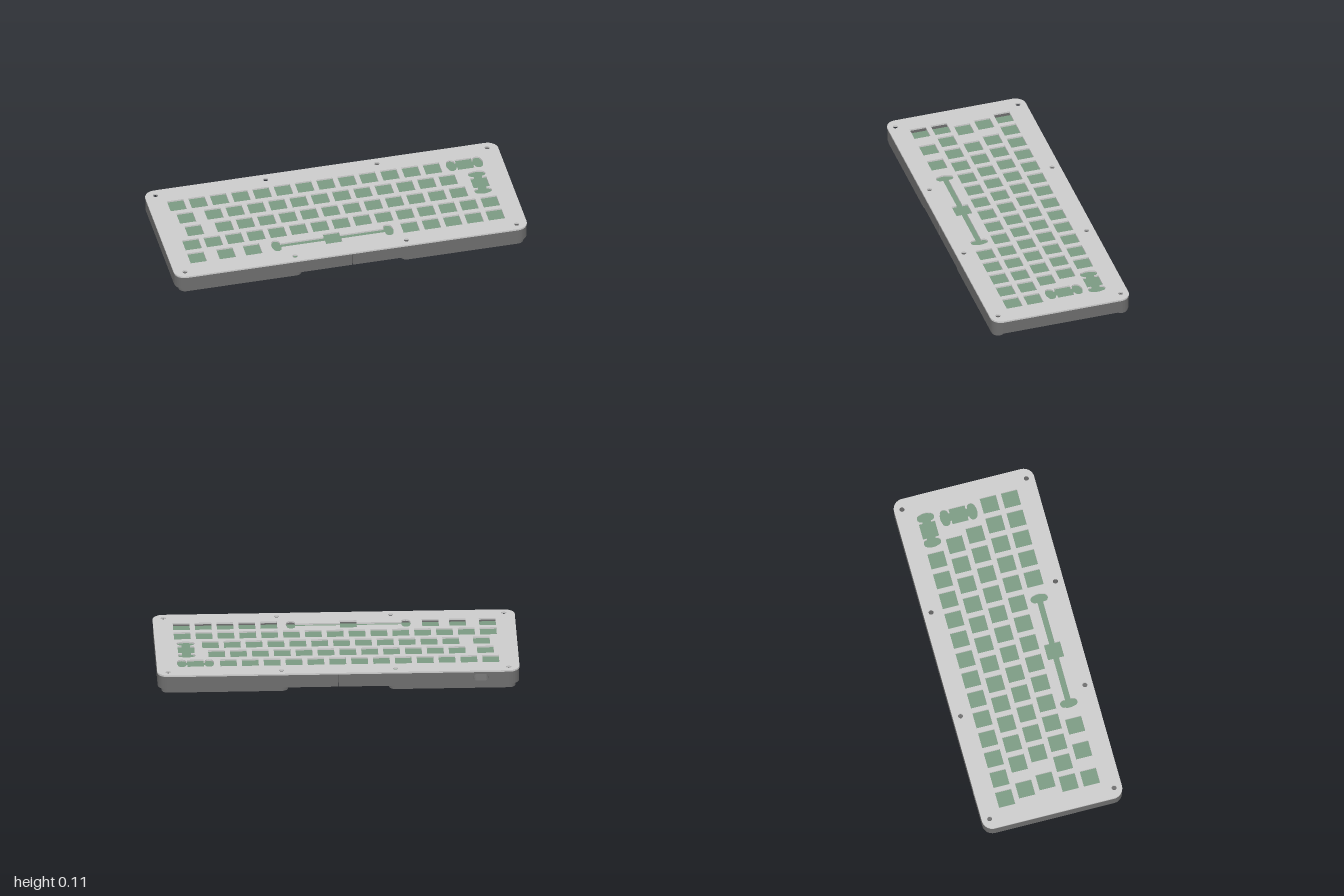
import * as THREE from 'three';

const U = 0.1207;      // key pitch
const KEY = 0.046;     // half size of a switch cutout
const SCREW_X = [0.315, 0.94], SCREW_Z = 0.355;

const mat = (color) => new THREE.MeshStandardMaterial({ color });
const v = (x, y) => new THREE.Vector2(x, y);

function circle(x, y, r) {
  const p = new THREE.Path();
  p.absarc(x, y, r, 0, Math.PI * 2, true);
  return p;
}

function arc(cx, cy, r, a0, a1, n = 8) {
  return Array.from({ length: n + 1 }, (_, i) => {
    const a = a0 + (a1 - a0) * i / n;
    return v(cx + r * Math.cos(a), cy + r * Math.sin(a));
  });
}

const rect = (x0, x1, y0, y1) => [v(x0, y0), v(x1, y0), v(x1, y1), v(x0, y1)];

// Flat plan shape (plan y = -z) raised from y0 to y1
function slab(name, shape, y0, y1, material) {
  const g = new THREE.ExtrudeGeometry(shape, { depth: y1 - y0, bevelEnabled: false, curveSegments: 16 });
  g.rotateX(-Math.PI / 2);
  const m = new THREE.Mesh(g, material);
  m.position.y = y0;
  m.name = name;
  return m;
}

// Switch opening joined to two lobed stabilizer openings at +-d
function stabilizedCutout(cx, cy, d, bar, upright) {
  const q = [v(d + 0.028, 0.008), v(d + 0.026, 0.018),
    ...arc(d, 0.026, 0.023, 0, Math.PI, 8),
    v(d - 0.023, bar), v(KEY, bar), v(KEY, KEY)];
  const flip = (sx, sy) => q.map((p) => v(p.x * sx, p.y * sy));
  const all = [...q, ...flip(-1, 1).reverse(), ...flip(-1, -1), ...flip(1, -1).reverse()];
  return new THREE.Path(all.map((p) => (upright ? v(cx - p.y, cy + p.x) : v(cx + p.x, cy + p.y))));
}

// Top plate with all key and screw openings
function makePlate(material) {
  const X = 1, Z = 0.4, r = 0.06, P = Math.PI;
  const shape = new THREE.Shape([
    ...arc(X - r, Z - r, r, 0, P / 2), ...arc(-X + r, Z - r, r, P / 2, P),
    ...arc(-X + r, -Z + r, r, P, 1.5 * P), ...arc(X - r, -Z + r, r, 1.5 * P, 2 * P)]);

  // [row z, first x, key count]
  const runs = [
    [-0.242, -0.845, 13],
    [-0.121, -0.82, 1], [-0.121, -0.664, 12],
    [0, -0.803, 1], [0, -0.634, 12],
    [0.121, -0.845, 15],
    [0.242, -0.845, 1], [0.242, -0.68, 1], [0.242, -0.53, 1], [0.242, 0.362, 5],
  ];
  for (const [z, x0, n] of runs) {
    for (let i = 0; i < n; i++) {
      const x = x0 + i * U;
      shape.holes.push(new THREE.Path(rect(x - KEY, x + KEY, -z - KEY, -z + KEY)));
    }
  }
  shape.holes.push(
    stabilizedCutout(0.785, 0.242, 0.075, 0.024, false),
    stabilizedCutout(0.83, 0.061, 0.077, 0.024, true),
    stabilizedCutout(-0.077, -0.242, 0.317, 0.016, false));
  for (const s of [-1, 1]) for (const x of SCREW_X) for (const t of [-1, 1]) {
    shape.holes.push(circle(s * x, t * SCREW_Z, 0.014));
  }
  return slab('topPlate', shape, 0.098, 0.1075, material);
}

// One half of the case; s is the side, withPort opens the rear wall
function makeCaseHalf(s, withPort, material) {
  const g = new THREE.Group();
  g.name = s > 0 ? 'leftCaseHalf' : 'rightCaseHalf';
  const X = 0.998, Z = 0.398, r = 0.058, IX = 0.905, IZ = 0.325, seam = 0.002;
  const P0 = 0.73, P1 = 0.84, floorY = 0.042, topY = 0.098;
  const side = (pts) => new THREE.Shape(pts.map((p) => v(p.x * s, p.y)));
  const outer = [v(seam, -Z),
    ...arc(X - r, -Z + r, r, -Math.PI / 2, 0), ...arc(X - r, Z - r, r, 0, Math.PI / 2)];
  const addScrews = (shape) => {
    for (const x of SCREW_X) for (const t of [-1, 1]) shape.holes.push(circle(s * x, t * SCREW_Z, 0.014));
    return shape;
  };

  // Floor, with the joint screw recesses on the left half
  const floor = addScrews(side([...outer, v(seam, Z)]));
  if (s > 0) for (const t of [-1, 1]) floor.holes.push(circle(0.06, t * SCREW_Z, 0.02));
  g.add(slab('caseFloor', floor, 0.023, floorY, material));

  // Walls
  const inner = [v(IX, IZ), v(IX, -IZ), v(seam, -IZ)];
  if (!withPort) {
    g.add(slab('caseWall', addScrews(side([...outer, v(seam, Z), v(seam, IZ), ...inner])), floorY, topY, material));
  } else {
    const main = side([...outer, v(P1, Z), v(P1, IZ), ...inner]);
    const rear = side(rect(seam, P0, IZ, Z));
    for (const t of [-1, 1]) {
      main.holes.push(circle(s * 0.94, t * SCREW_Z, 0.014));
      (t < 0 ? main : rear).holes.push(circle(s * 0.315, t * SCREW_Z, 0.014));
    }
    g.add(slab('caseWall', main, floorY, topY, material), slab('rearWall', rear, floorY, topY, material));

    // Rear wall block with the rounded cable opening
    const block = side(rect(P0, P1, floorY, topY));
    const cx = s * (P0 + P1) / 2, cy = 0.066, pr = 0.02, h = 0.022;
    block.holes.push(new THREE.Path([
      ...arc(cx + h, cy, pr, -Math.PI / 2, Math.PI / 2), ...arc(cx - h, cy, pr, Math.PI / 2, 1.5 * Math.PI)]));
    const m = new THREE.Mesh(
      new THREE.ExtrudeGeometry(block, { depth: Z - IZ, bevelEnabled: false }), material);
    m.position.z = -Z;
    m.name = 'cablePort';
    g.add(m);
  }
  return g;
}

// Long rounded foot with a wide screw recess at each end
function makeFoot(s, t, material) {
  const r = 0.037, cy = t * SCREW_Z, [a, b] = SCREW_X.map((x) => x * s).sort((p, q) => p - q);
  const shape = new THREE.Shape([
    ...arc(b, cy, r, -Math.PI / 2, Math.PI / 2, 16), ...arc(a, cy, r, Math.PI / 2, 1.5 * Math.PI, 16)]);
  shape.holes.push(circle(a, cy, 0.023), circle(b, cy, 0.023));
  return slab('foot', shape, 0, 0.023, material);
}

export function createModel() {
  const model = new THREE.Group();
  model.name = 'keyboardCase';
  const plateMat = mat(0xcccccc), caseMat = mat(0x6c6c6c), boardMat = mat(0x7b9a82);

  model.add(makePlate(plateMat));
  model.add(makeCaseHalf(1, false, caseMat), makeCaseHalf(-1, true, caseMat));
  for (const s of [-1, 1]) for (const t of [-1, 1]) model.add(makeFoot(s, t, caseMat));

  // Circuit board below the plate
  const board = new THREE.Mesh(new THREE.BoxGeometry(1.8, 0.01, 0.64), boardMat);
  board.position.y = 0.069;
  board.name = 'circuitBoard';
  model.add(board);
  return model;
}
